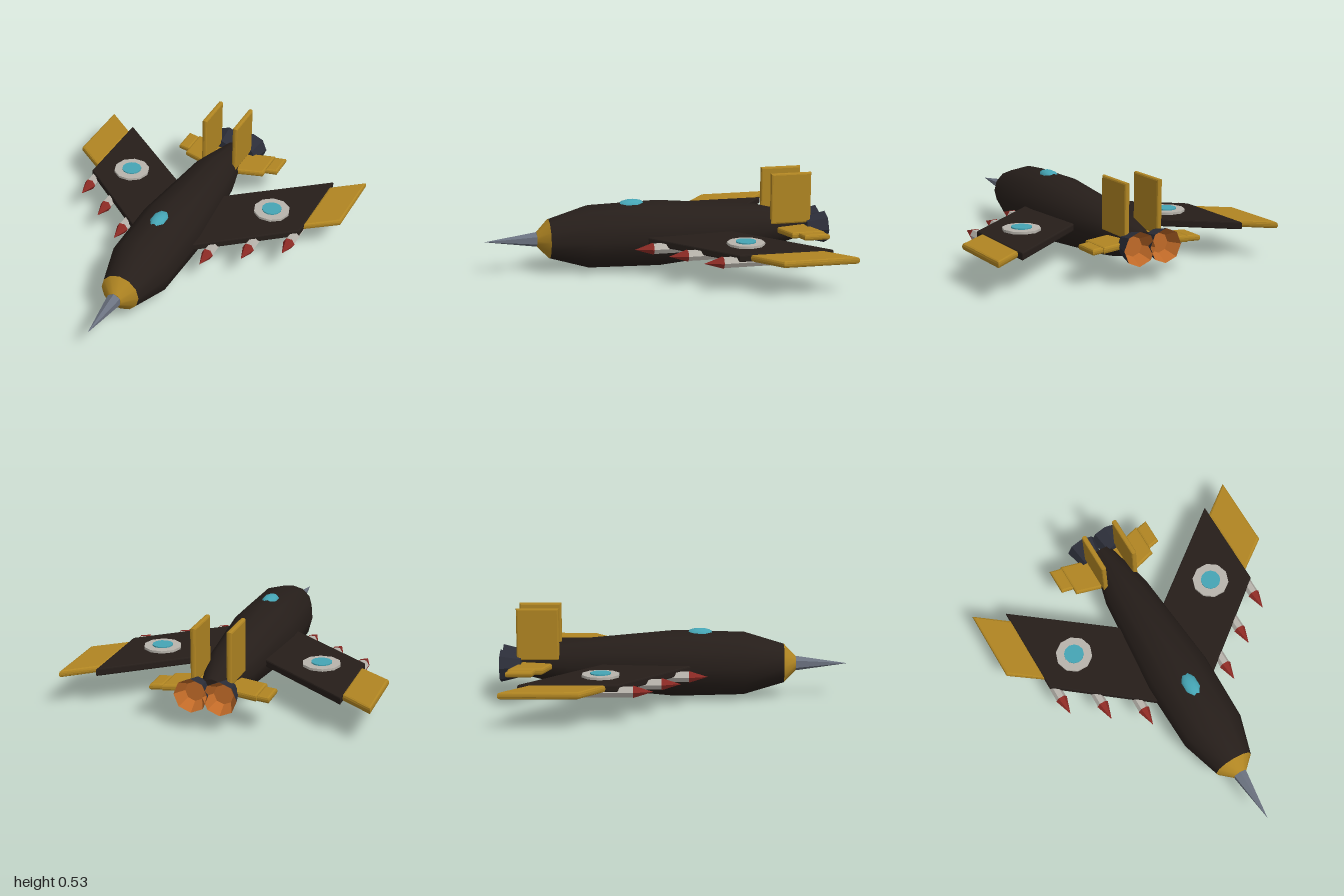
import * as THREE from 'three';
import { toCreasedNormals } from 'three/addons/utils/BufferGeometryUtils.js';

const Y = 0.198; // height of the fuselage axis

const mat = (color, extra = {}) => new THREE.MeshStandardMaterial({ color, ...extra });

export function createModel() {
  const model = new THREE.Group();
  const dark = mat(0x261e1a);
  const gold = mat(0xb08522);
  const teal = mat(0x45a5b5);
  const red = mat(0x8c2a24);
  const white = mat(0xb8b4ac);
  const steel = mat(0x6b7280);
  const gunmetal = mat(0x2b2d38, { side: THREE.DoubleSide });
  const flame = mat(0xc06a28, { side: THREE.DoubleSide });

  const add = (name, geometry, material, x = 0, y = 0, z = 0) => {
    const mesh = new THREE.Mesh(geometry, material);
    mesh.name = name;
    mesh.position.set(x, y, z);
    model.add(mesh);
    return mesh;
  };

  // body of revolution along z, from [radius, z] pairs running forwards
  const turned = (profile, sides, twist = 0) => {
    const points = profile.map(([r, z]) => new THREE.Vector2(r, z));
    const g = new THREE.LatheGeometry(points, sides, twist);
    return toCreasedNormals(g.rotateX(Math.PI / 2), 0.61);
  };

  // flat bevelled panel from [x, z] corners, centred on y = 0
  const panel = (corners, thickness, bevel, side) => {
    const shape = new THREE.Shape(corners.map(([x, z]) => new THREE.Vector2(x * side, z)));
    const g = new THREE.ExtrudeGeometry(shape, {
      depth: thickness - 2 * bevel, bevelThickness: bevel,
      bevelSize: bevel, bevelOffset: -bevel, bevelSegments: 2,
    });
    g.translate(0, 0, bevel - thickness / 2);
    return g.rotateX(Math.PI / 2);
  };

  // fuselage, nose and spike
  add('fuselage', turned([[0, -0.9], [0.065, -0.9], [0.14, -0.6], [0.195, 0],
    [0.185, 0.4], [0.115, 0.63]], 12), dark, 0, Y);
  add('noseCone', turned([[0.115, 0.63], [0.042, 0.7], [0, 0.7]], 12), gold, 0, Y);
  add('noseSpike', turned([[0, 0.7], [0.043, 0.7], [0, 1]], 6), steel, 0, Y);

  // canopy bubble
  const canopy = new THREE.SphereGeometry(1, 8, 8).rotateY(Math.PI / 8).scale(0.048, 0.035, 0.084);
  add('canopy', canopy, teal, 0, 0.37, 0.145);

  for (const side of [1, -1]) {
    const label = side > 0 ? 'left' : 'right';

    // swept wing with its tip panel
    add(label + 'Wing', panel([[0.05, 0.2], [0.685, -0.305], [0.685, -0.84], [0.05, -0.345]],
      0.042, 0.008, side), dark, 0, Y);
    add(label + 'WingTip', panel([[0.68, -0.365], [0.865, -0.5], [0.865, -0.927], [0.68, -0.785]],
      0.038, 0.014, side), gold, 0, Y);

    // disc markings on the wing
    add(label + 'WingDisc', new THREE.CylinderGeometry(0.107, 0.107, 0.016, 10).rotateY(Math.PI / 2),
      white, side * 0.465, 0.225, -0.405);
    add(label + 'WingDiscCentre', new THREE.CylinderGeometry(0.058, 0.058, 0.02, 12),
      teal, side * 0.465, 0.23, -0.405);

    // three missiles staggered along the leading edge
    for (let i = 0; i < 3; i++) {
      const x = side * (0.275 + 0.19 * i), z = 0.08 - 0.15 * i;
      add(label + 'MissileBody', turned([[0, -0.27], [0.031, -0.27], [0.031, 0]], 6, Math.PI / 6),
        white, x, 0.175, z);
      add(label + 'MissileTip', turned([[0, 0], [0.035, 0], [0, 0.107]], 6, Math.PI / 6),
        red, x, 0.175, z);
    }

    // tailplane and its small outer panel
    add(label + 'Tailplane', panel([[0.03, -0.68], [0.262, -0.745], [0.262, -0.942], [0.03, -0.878]],
      0.036, 0.012, side), gold, 0, Y);
    add(label + 'TailplaneTip', panel([[0.258, -0.782], [0.332, -0.797], [0.332, -0.948], [0.258, -0.932]],
      0.034, 0.012, side), gold, 0, Y);

    // upright tail fin, a bevelled panel turned on edge
    const fin = panel([[-0.15, -0.122], [0.15, -0.122], [0.15, 0.122], [-0.15, 0.122]], 0.03, 0.01, 1);
    add(label + 'TailFin', fin.rotateZ(Math.PI / 2), gold, side * 0.1, 0.385, -0.783);

    // engine nozzle with a glowing recess
    add(label + 'Nozzle', turned([[0.095, -1], [0.065, -0.88], [0, -0.88]], 8), gunmetal, side * 0.08, Y);
    add(label + 'NozzleGlow', turned([[0, -0.93], [0.055, -0.93], [0.095, -1]], 8), flame, side * 0.08, Y);
  }

  return model;
}
